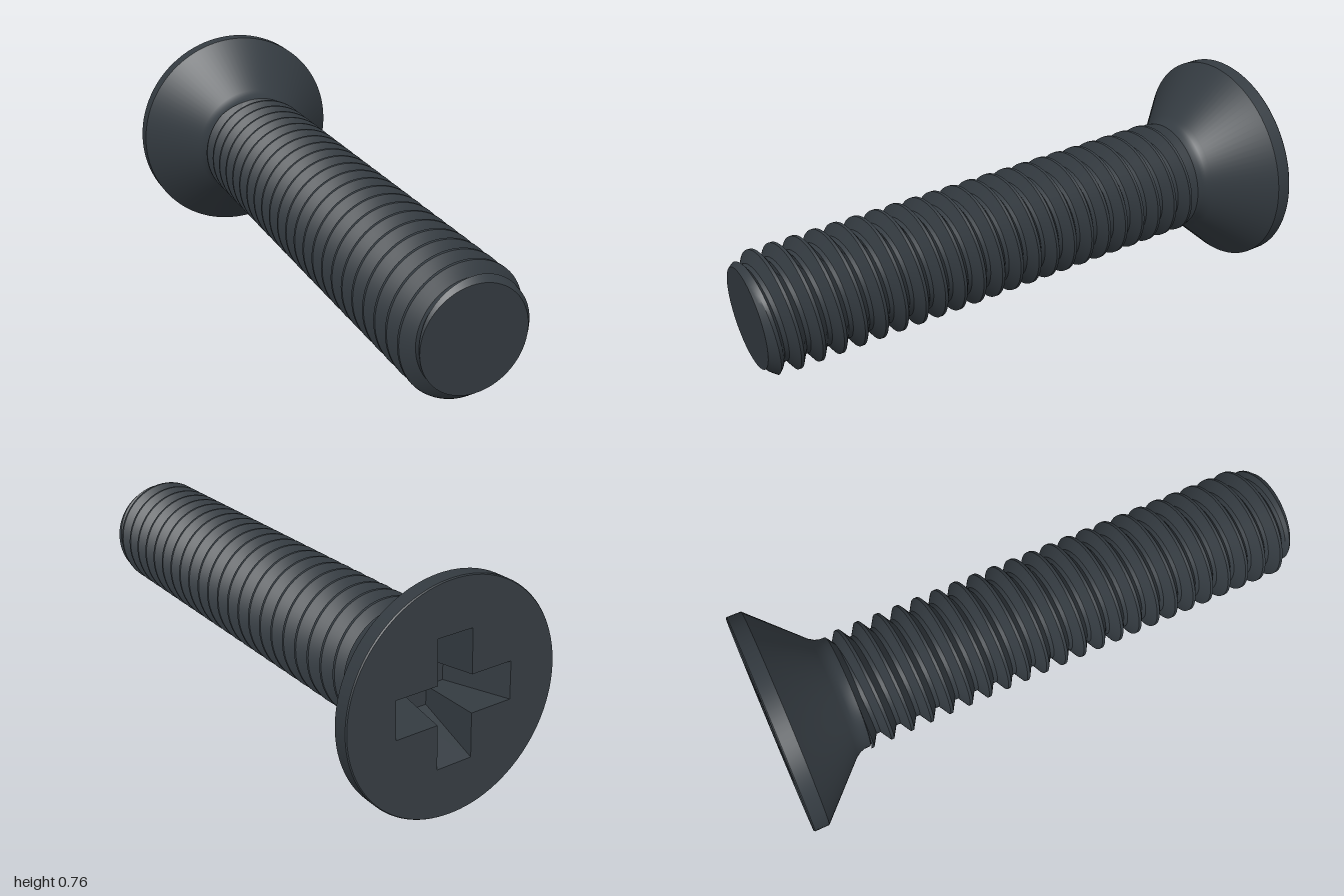
import * as THREE from 'three';
import { toCreasedNormals } from 'three/addons/utils/BufferGeometryUtils.js';

const HEAD_R = 0.38, LENGTH = 1.92;
const PITCH = 0.072, PHASE = 0.027, CREST = 0.206, ROOT = 0.168, THREAD_START = 0.275;

// Outline of a cross, counter-clockwise
function crossPoints(reach, half) {
  const pts = [];
  for (let i = 0; i < 4; i++) {
    const a = (i * Math.PI) / 2;
    for (const [x, y] of [[reach, -half], [reach, half], [half, half]]) {
      pts.push(new THREE.Vector2(x, y).rotateAround(new THREE.Vector2(), a));
    }
  }
  return pts;
}

// Thread radius at distance s along the axis and angle a, chamfered at the tip
function threadRadius(s, a) {
  const t = (s - PHASE) / PITCH - a / (2 * Math.PI);
  const d = Math.abs(t - Math.round(t));
  const k = THREE.MathUtils.clamp((d - 0.07) / 0.33, 0, 1);
  return Math.min(THREE.MathUtils.lerp(CREST, ROOT, k), 0.17 + (LENGTH - s) * 0.8);
}

// Helical surface whose rows follow the crests and roots
function threadGeometry() {
  const segs = 72, rows = [];
  for (let turn = 1; turn <= 28; turn++) {
    for (const f of [-0.07, 0.07, 0.235, 0.4, 0.6, 0.765]) rows.push(turn + f);
  }
  const pos = [], index = [];
  rows.forEach((row, j) => {
    for (let i = 0; i <= segs; i++) {
      const a = (i / segs) * Math.PI * 2;
      const s = THREE.MathUtils.clamp(PHASE + PITCH * (row + i / segs), THREAD_START, LENGTH);
      const r = threadRadius(s, a);
      pos.push(r * Math.cos(a), r * Math.sin(a), s);
      if (j > 0 && i > 0) {
        const d = j * (segs + 1) + i, c = d - 1, b = d - segs - 1, e = b - 1;
        index.push(e, b, d, e, d, c);
      }
    }
  });
  const geo = new THREE.BufferGeometry();
  geo.setAttribute('position', new THREE.Float32BufferAttribute(pos, 3));
  geo.setIndex(index);
  return toCreasedNormals(geo, 0.5);
}

// Sloping inner walls between two cross outlines
function recessWalls(top, bottom, depth) {
  const pos = [];
  top.forEach((p, i) => {
    const n = (i + 1) % top.length, q = top[n], p1 = bottom[i], q1 = bottom[n];
    pos.push(p.x, p.y, 0, p1.x, p1.y, depth, q1.x, q1.y, depth);
    pos.push(p.x, p.y, 0, q1.x, q1.y, depth, q.x, q.y, 0);
  });
  const geo = new THREE.BufferGeometry();
  geo.setAttribute('position', new THREE.Float32BufferAttribute(pos, 3));
  geo.computeVertexNormals();
  return geo;
}

export function createModel() {
  const model = new THREE.Group();
  model.name = 'countersunkScrew';
  const steel = new THREE.MeshStandardMaterial({ color: 0x343b41 });
  steel.name = 'dark steel';

  const screw = new THREE.Group();
  screw.name = 'screw';
  model.add(screw);
  const add = (name, geo) => {
    const mesh = new THREE.Mesh(geo, steel);
    mesh.name = name;
    screw.add(mesh);
  };

  // Head: thin rim, countersunk cone and short neck, along local +z
  const profile = [
    [HEAD_R - 0.003, 0], [HEAD_R, 0.004], [HEAD_R, 0.053], [0.215, 0.22],
    [0.203, 0.238], [0.198, 0.255], [0.197, 0.275], [ROOT - 0.002, 0.297],
  ].map(([r, s]) => new THREE.Vector2(r, s));
  add('head', toCreasedNormals(new THREE.LatheGeometry(profile, 96).rotateX(Math.PI / 2), 0.5));

  // Flat head face with a cross-shaped opening
  const mouth = crossPoints(0.21, 0.063), floor = crossPoints(0.11, 0.045), depth = 0.19;
  const disc = new THREE.Shape().absarc(0, 0, HEAD_R - 0.003, 0, Math.PI * 2);
  disc.holes.push(new THREE.Path(mouth.slice().reverse()));
  add('headFace', new THREE.ShapeGeometry(disc, 48).rotateY(Math.PI));

  // Drive recess
  add('recessWalls', recessWalls(mouth, floor, depth));
  add('recessFloor', new THREE.ShapeGeometry(new THREE.Shape(floor)).rotateY(Math.PI).translate(0, 0, depth));

  // Threaded shank and its flat end
  add('thread', threadGeometry());
  add('tip', new THREE.CircleGeometry(0.17, 72).translate(0, 0, LENGTH));

  // Lay the screw on its side, tilted as it rests on the ground
  const axis = new THREE.Vector3(0.974, -0.0945, 0.2046).normalize();
  const side = new THREE.Vector3(0, 1, 0).cross(axis).normalize();
  const up = axis.clone().cross(side);
  screw.quaternion.setFromRotationMatrix(new THREE.Matrix4().makeBasis(side, up, axis));
  screw.position.set(-0.914, 0.382, -0.107);
  return model;
}
